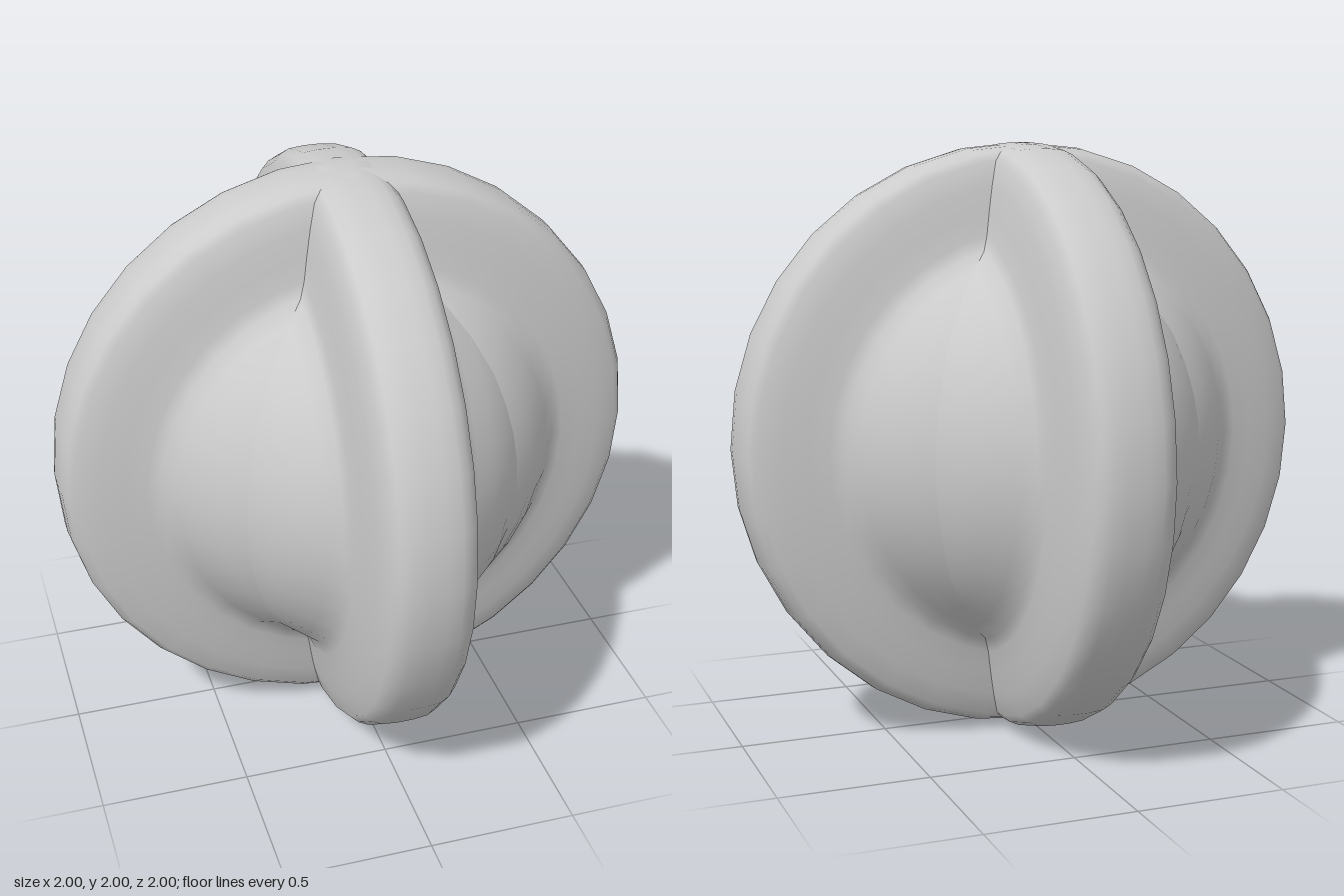
import * as THREE from 'three';

// Half profile of one wheel: [radius, half thickness], hub to rim
const PROFILE = [
  [0, 0.62], [0.2, 0.59], [0.35, 0.53], [0.46, 0.46], [0.54, 0.395], [0.6, 0.325],
  [0.65, 0.255], [0.685, 0.205], [0.73, 0.188], [0.8, 0.175], [0.88, 0.158],
  [0.955, 0.138], [0.98, 0.112], [0.995, 0.08], [1, 0.03],
];

function createWheel(name) {
  const lower = PROFILE.map(([r, h]) => new THREE.Vector2(r, -h));
  const upper = PROFILE.map(([r, h]) => new THREE.Vector2(r, h)).reverse();
  const geometry = new THREE.LatheGeometry([...lower, ...upper], 32);
  geometry.rotateX(Math.PI / 2); // wheel axis along z
  const wheel = new THREE.Mesh(geometry, new THREE.MeshStandardMaterial({ color: 0xcccccc }));
  wheel.name = name;
  wheel.position.y = 1;
  return wheel;
}

export function createModel() {
  const group = new THREE.Group();
  group.name = 'crossedWheels';

  // Two identical domed wheels crossing at right angles
  const frontWheel = createWheel('frontFacingWheel');
  const sideWheel = createWheel('sideFacingWheel');
  sideWheel.rotation.y = Math.PI / 2;
  group.add(frontWheel, sideWheel);
  return group;
}
